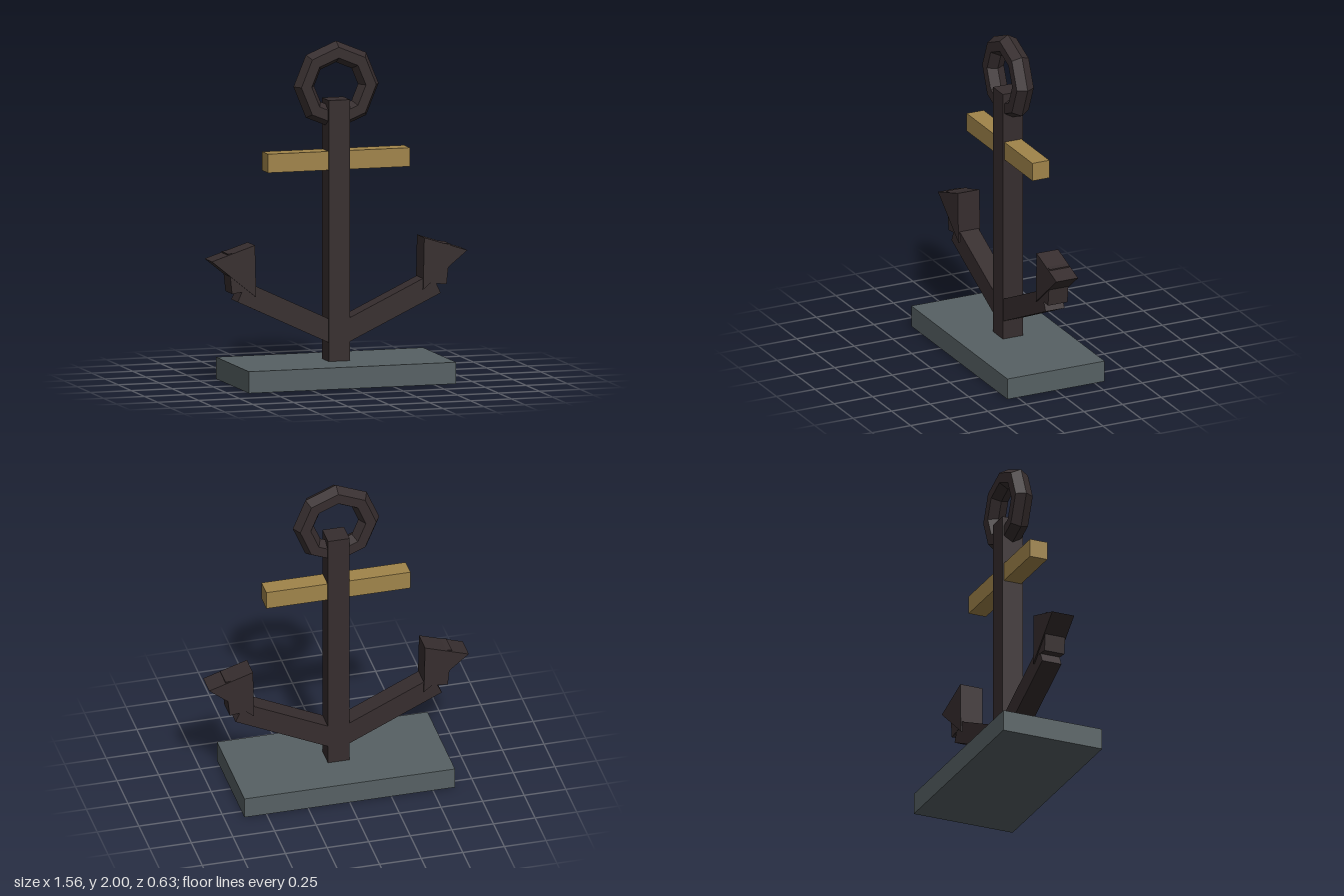
import * as THREE from 'three';

const material = (name, color) => {
  const m = new THREE.MeshStandardMaterial({ color });
  m.name = name;
  return m;
};

export function createModel() {
  const iron = material('dark iron', 0x362d2e);
  const wood = material('golden wood', 0xa0844a);
  const stone = material('grey stone', 0x566063);
  const model = new THREE.Group();
  model.name = 'anchor';

  const add = (parent, name, geometry, mat, x = 0, y = 0, z = 0) => {
    const mesh = new THREE.Mesh(geometry, mat);
    mesh.name = name;
    mesh.position.set(x, y, z);
    parent.add(mesh);
    return mesh;
  };

  // Solid slab with a given front outline, centred on z = 0
  const slab = (points, depth) => {
    const shape = new THREE.Shape(points.map(([x, y]) => new THREE.Vector2(x, y)));
    return new THREE.ExtrudeGeometry(shape, { depth, bevelEnabled: false }).translate(0, 0, -depth / 2);
  };

  // Base, shank and crossbar
  add(model, 'base', new THREE.BoxGeometry(1.265, 0.127, 0.63), stone, 0, 0.0635);
  add(model, 'shank', new THREE.BoxGeometry(0.13, 1.535, 0.13), iron, 0, 0.8925);
  add(model, 'crossbar', new THREE.BoxGeometry(0.866, 0.11, 0.11), wood, 0, 1.305);

  // Octagonal ring with a hexagonal section
  const ring = new THREE.TorusGeometry(0.197, 0.063, 6, 8).toNonIndexed();
  ring.computeVertexNormals();
  add(model, 'ring', ring, iron, 0, 1.74);

  // Arms, each with an upturned tip and a pointed fluke
  for (const [side, label] of [[1, 'left'], [-1, 'right']]) {
    const arm = new THREE.Group();
    arm.name = label + 'ArmGroup';
    const mirror = (points) => points.map(([x, y]) => [side * x, y]);
    add(arm, label + 'Arm', slab(mirror([[0, 0.208], [0.62, 0.5], [0.566, 0.615], [0, 0.348]]), 0.122), iron);
    add(arm, label + 'ArmTip', slab(mirror([[0.54, 0.562], [0.655, 0.55], [0.68, 0.785], [0.565, 0.797]]), 0.126), iron);
    add(arm, label + 'Fluke', slab(mirror([[0.51, 0.525], [0.78, 0.745], [0.517, 0.83]]), 0.14), iron);
    model.add(arm);
  }

  return model;
}
